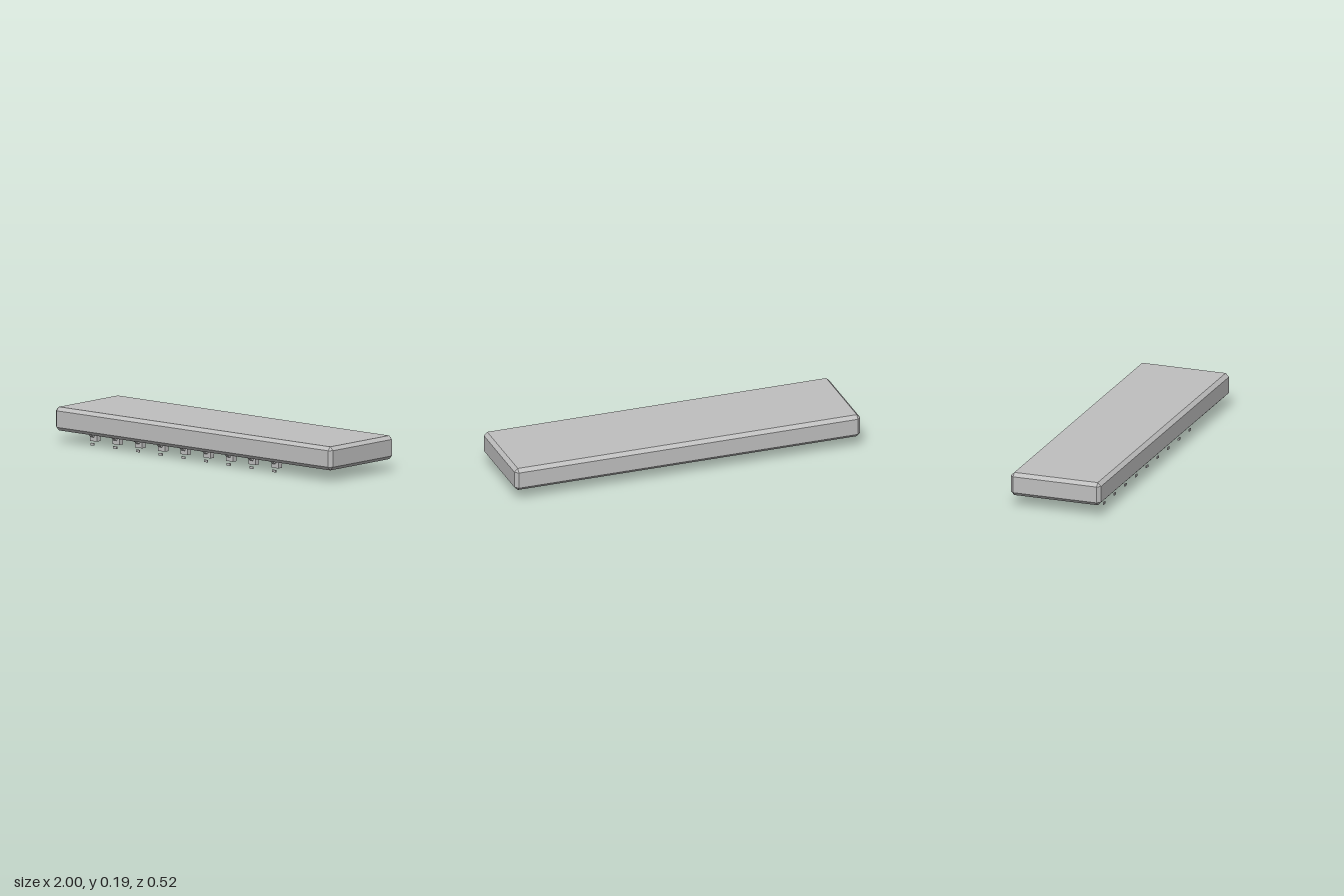
import * as THREE from 'three';
import { ConvexGeometry } from 'three/addons/geometries/ConvexGeometry.js';

// Box with every edge cut at 45 degrees: three corner points per octant
function chamferedBox(hx, hy, hz, c) {
  const points = [];
  for (const x of [-1, 1]) for (const y of [-1, 1]) for (const z of [-1, 1]) {
    points.push(
      new THREE.Vector3(x * hx, y * (hy - c), z * (hz - c)),
      new THREE.Vector3(x * (hx - c), y * hy, z * (hz - c)),
      new THREE.Vector3(x * (hx - c), y * (hy - c), z * hz)
    );
  }
  return new ConvexGeometry(points);
}

export function createModel() {
  const model = new THREE.Group();
  model.name = 'hookShelf';
  const grey = new THREE.MeshStandardMaterial({ color: 0xbfbfbf });
  grey.name = 'grey';

  const add = (parent, name, geometry, x, y, z) => {
    const mesh = new THREE.Mesh(geometry, grey);
    mesh.name = name;
    mesh.position.set(x, y, z);
    parent.add(mesh);
    return mesh;
  };

  // Main slab
  add(model, 'slab', chamferedBox(1, 0.065, 0.262, 0.0195), 0, 0.131, 0);

  // Row of hooks under the front edge
  const blockGeometry = new THREE.BoxGeometry(0.05, 0.045, 0.029);
  const armGeometry = new THREE.BoxGeometry(0.02, 0.011, 0.04);
  const tipGeometry = new THREE.BoxGeometry(0.025, 0.013, 0.006);
  for (let i = 0; i < 9; i++) {
    const hook = new THREE.Group();
    hook.name = 'hook';
    hook.position.x = -0.773 + i * 0.164;
    add(hook, 'hookBlock', blockGeometry, 0, 0.046, 0.181);
    // Arm slopes up and forward into the slab
    add(hook, 'hookArm', armGeometry, 0, 0.062, 0.215).rotation.x = -0.61;
    add(hook, 'hookTip', tipGeometry, 0, 0.0075, 0.201);
    model.add(hook);
  }
  return model;
}
